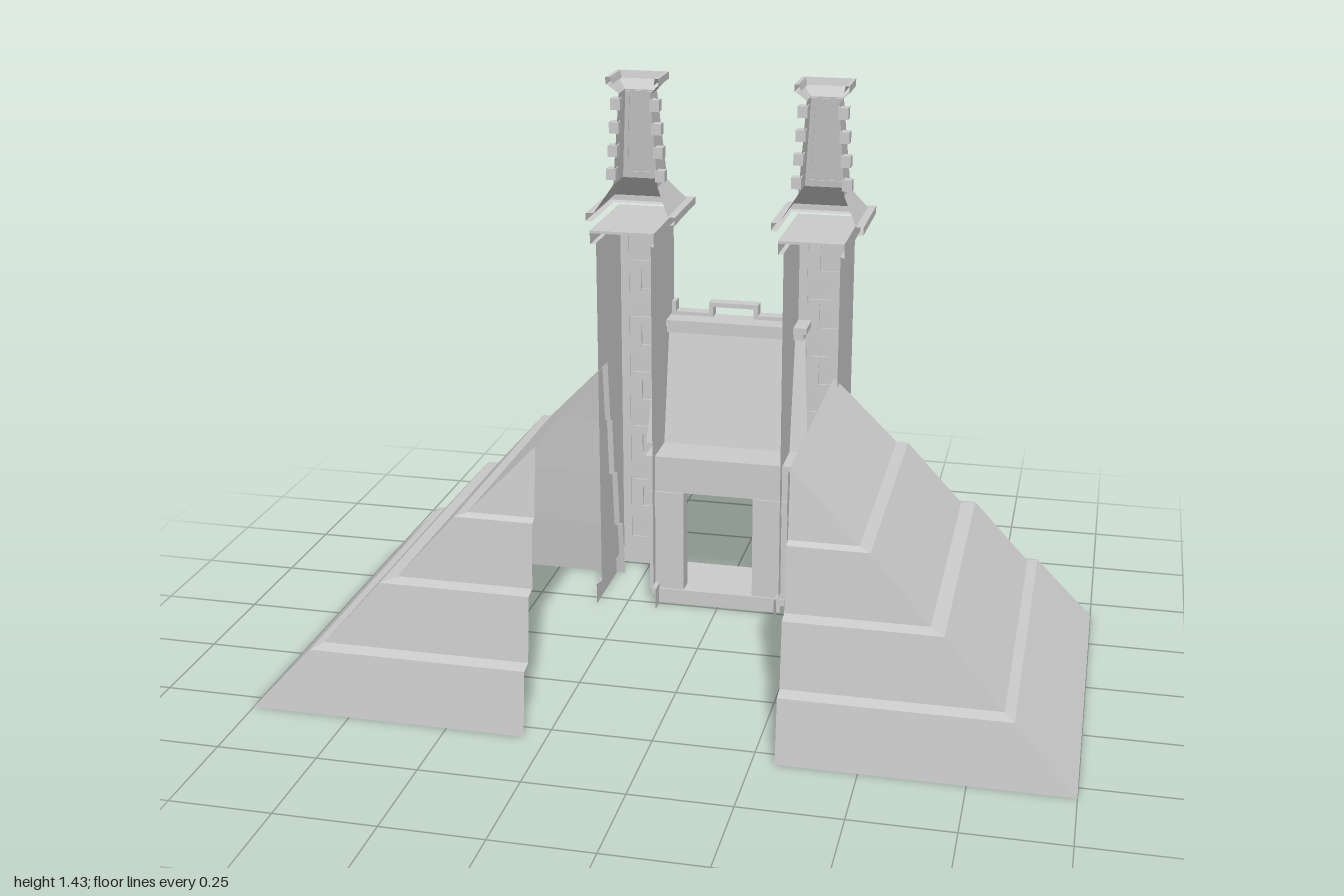
import * as THREE from 'three';

const mat = new THREE.MeshStandardMaterial({ color: 0xcccccc, flatShading: true, side: THREE.DoubleSide });

function add(parent, name, geometry) {
  const mesh = new THREE.Mesh(geometry, mat);
  mesh.name = name;
  parent.add(mesh);
  return mesh;
}

// Box given by its two extreme corners
function box(parent, name, x0, x1, y0, y1, z0, z1) {
  const mesh = add(parent, name, new THREE.BoxGeometry(x1 - x0, y1 - y0, z1 - z0));
  mesh.position.set((x0 + x1) / 2, (y0 + y1) / 2, (z0 + z1) / 2);
  return mesh;
}

// Open sheet skinned across a stack of equal-length polylines
function loft(rows) {
  const pos = [];
  for (let i = 0; i < rows.length - 1; i++) {
    for (let j = 0; j < rows[i].length - 1; j++) {
      const a = rows[i][j], b = rows[i][j + 1], c = rows[i + 1][j + 1], d = rows[i + 1][j];
      pos.push(...a, ...d, ...c, ...a, ...c, ...b);
    }
  }
  const g = new THREE.BufferGeometry();
  g.setAttribute('position', new THREE.Float32BufferAttribute(pos, 3));
  g.computeVertexNormals();
  return g;
}

// Three-sided shell, open towards +z; levels are [y, halfWidth, zFront, zBack]
const shell = (levels) => loft(levels.map(([y, h, zf, zb]) =>
  [[-h, y, zf], [-h, y, zb], [h, y, zb], [h, y, zf]]));

// Stepped half pyramid, open on its inner side; levels are [y, xOuter, zFront, zBack]
function makeWing() {
  const inner = 0.305;
  const levels = [
    [0, 1.0, 0.548, -0.425], [0.163, 0.85, 0.528, -0.402],
    [0.17, 0.825, 0.495, -0.371], [0.335, 0.68, 0.477, -0.352],
    [0.342, 0.645, 0.446, -0.322], [0.505, 0.5, 0.431, -0.307],
    [0.512, 0.472, 0.412, -0.288], [0.685, inner, 0.392, -0.268],
  ];
  return loft(levels.map(([y, x, zf, zb]) =>
    [[inner, y, zb], [x, y, zb], [x, y, zf], [inner, y, zf]]));
}

// Tapered frame around the crown's sunk back panel
function makeCrownFrame() {
  const outline = (b, t, y0, y1) => [[-b, y0], [b, y0], [t, y1], [-t, y1]].map(([x, y]) => new THREE.Vector2(x, y));
  const shape = new THREE.Shape(outline(0.06, 0.042, 0, 0.243));
  shape.holes.push(new THREE.Path(outline(0.046, 0.032, 0.018, 0.228)));
  return new THREE.ExtrudeGeometry(shape, { depth: 0.008, bevelEnabled: false });
}

function makeTower() {
  const tower = new THREE.Group();
  tower.name = 'tower';
  tower.position.x = 0.247;

  // Plinth, body and cornice
  add(tower, 'towerBody', shell([
    [0, 0.083, -0.21, -0.505], [0.058, 0.083, -0.21, -0.505],
    [0.062, 0.073, -0.228, -0.48], [1.02, 0.073, -0.228, -0.478],
    [1.02, 0.085, -0.212, -0.51], [1.055, 0.085, -0.212, -0.51],
  ]));
  box(tower, 'towerRoofSlab', -0.085, 0.085, 1.05, 1.057, -0.51, -0.212);

  // Raised border of the back face
  for (const s of [-1, 1]) {
    box(tower, 'borderStile', s * 0.0615 - 0.0115, s * 0.0615 + 0.0115, 0.06, 1.02, -0.489, -0.476);
  }
  box(tower, 'borderRail', -0.05, 0.05, 0.06, 0.095, -0.489, -0.476);
  box(tower, 'borderRail', -0.05, 0.05, 0.985, 1.02, -0.489, -0.476);

  // Meander relief
  const step = 0.08, t = 0.024, n = 11;
  for (let i = 0; i < n; i++) {
    const y = 0.1 + i * step, x = (i % 2 ? 1 : -1) * 0.027;
    box(tower, 'meanderUpright', x - t / 2, x + t / 2, y, y + step, -0.489, -0.472);
    if (i > 0) box(tower, 'meanderBar', -0.027 - t / 2, 0.027 + t / 2, y - t / 2, y + t / 2, -0.488, -0.473);
  }

  // Crown: skirt, tapering shaft and flared cap
  add(tower, 'crown', shell([
    [1.057, 0.105, -0.305, -0.53], [1.06, 0.12, -0.3, -0.547], [1.08, 0.12, -0.3, -0.547],
    [1.08, 0.1, -0.305, -0.527], [1.145, 0.06, -0.36, -0.465],
    [1.388, 0.042, -0.36, -0.43], [1.413, 0.065, -0.338, -0.45],
    [1.415, 0.07, -0.333, -0.454], [1.434, 0.07, -0.333, -0.454],
    [1.434, 0.06, -0.338, -0.447], [1.415, 0.055, -0.345, -0.443],
  ]));
  const frame = add(tower, 'crownFrame', makeCrownFrame());
  frame.position.set(0, 1.145, -0.471);
  frame.rotation.x = 0.145;

  // Studs on the edges of the crown
  for (let i = 0; i < 4; i++) {
    const y = 1.158 + i * 0.062;
    const h = 0.06 - (y - 1.145) * 0.074;
    for (const s of [-1, 1]) {
      const x = s * (h + 0.007);
      box(tower, 'crownStud', x - 0.013, x + 0.013, y, y + 0.03, -0.39, -0.36);
    }
  }
  return tower;
}

function makeGate() {
  const gate = new THREE.Group();
  gate.name = 'gate';

  // Leaning panel over the door, with its cornice
  add(gate, 'leaningPanel', loft([
    [[0.225, 0.425, -0.365], [-0.225, 0.425, -0.365]],
    [[0.2, 0.735, -0.43], [-0.2, 0.735, -0.43]],
  ]));
  box(gate, 'cornice', -0.2, 0.2, 0.735, 0.755, -0.46, -0.405);
  box(gate, 'corniceTop', -0.21, 0.21, 0.755, 0.772, -0.48, -0.395);

  // Cresting
  box(gate, 'crestBar', -0.068, 0.068, 0.8, 0.812, -0.485, -0.45);
  for (const s of [-1, 1]) {
    box(gate, 'crestPost', s * 0.062 - 0.006, s * 0.062 + 0.006, 0.772, 0.8, -0.485, -0.45);
    box(gate, 'crestEnd', s * 0.165 - 0.006, s * 0.165 + 0.006, 0.772, 0.81, -0.485, -0.45);
    box(gate, 'crestFoot', s * 0.115 - 0.05, s * 0.115 + 0.05, 0.772, 0.782, -0.485, -0.45);
  }

  // Soffit with dentils
  box(gate, 'soffit', -0.2, 0.2, 0.415, 0.43, -0.37, -0.255);
  box(gate, 'dentilBand', -0.19, 0.19, 0.36, 0.415, -0.335, -0.32);
  for (let i = 0; i < 9; i++) {
    const x = (i - 4) * 0.038;
    box(gate, 'dentil', x - 0.011, x + 0.011, 0.37, 0.415, -0.362, -0.335);
  }

  // Door wall, lintel and jambs
  box(gate, 'lintel', -0.19, 0.19, 0.33, 0.415, -0.32, -0.255);
  for (const s of [-1, 1]) {
    box(gate, 'jamb', s * 0.1425 - 0.0475, s * 0.1425 + 0.0475, 0.04, 0.33, -0.3, -0.255);
    box(gate, 'lintelBracket', s * 0.145 - 0.045, s * 0.145 + 0.045, 0.29, 0.33, -0.325, -0.25);
    for (let i = 0; i < 6; i++) {
      box(gate, 'jambStud', s * 0.112 - 0.009, s * 0.112 + 0.009, 0.07 + i * 0.036, 0.09 + i * 0.036, -0.31, -0.3);
    }
  }

  // Threshold steps
  box(gate, 'lowerStep', -0.175, 0.175, 0.005, 0.025, -0.48, -0.25);
  box(gate, 'upperStep', -0.185, 0.185, 0.025, 0.045, -0.44, -0.25);
  return gate;
}

export function createModel() {
  const model = new THREE.Group();
  model.name = 'pyramidGateway';
  for (const s of [1, -1]) {
    const half = new THREE.Group();
    half.name = s > 0 ? 'leftHalf' : 'rightHalf';
    half.scale.x = s;
    add(half, 'steppedWing', makeWing());
    half.add(makeTower());
    model.add(half);
  }
  model.add(makeGate());
  return model;
}
